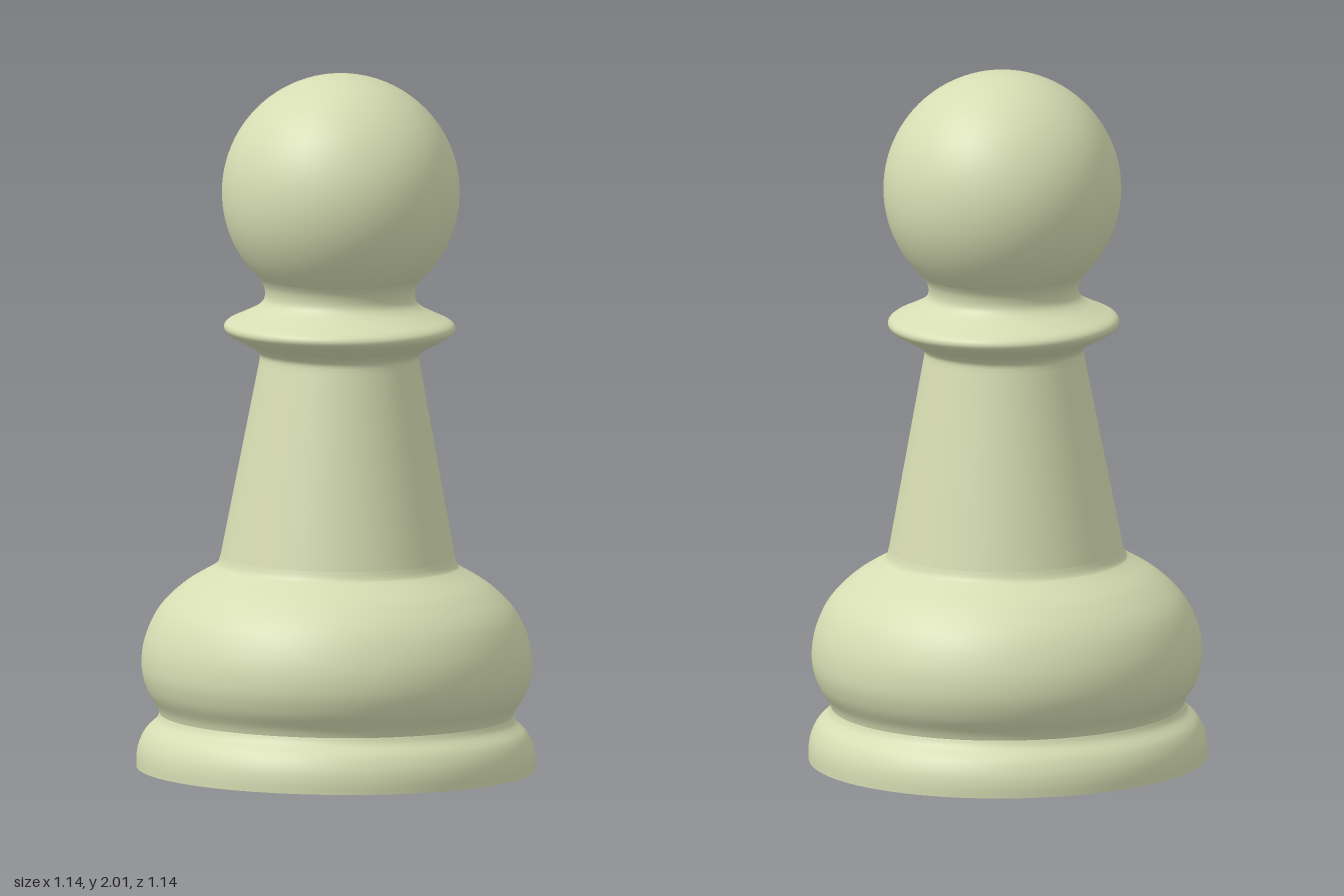
import * as THREE from 'three';

const SEGMENTS = 96;

export function createModel() {
  const model = new THREE.Group();
  model.name = 'pawn';
  const pale = new THREE.MeshStandardMaterial({ color: 0xd6dcb2 });
  pale.name = 'pale green';

  // Turned sections, each a profile of [radius, height] from bottom to top
  const turn = (name, points, smooth = true) => {
    let profile = points.map(([r, y]) => new THREE.Vector2(r, y));
    if (smooth) profile = new THREE.SplineCurve(profile).getPoints(points.length * 5);
    const mesh = new THREE.Mesh(new THREE.LatheGeometry(profile, SEGMENTS), pale);
    mesh.name = name;
    model.add(mesh);
  };

  // Flat underside
  turn('underside', [[0, 0], [0.57, 0]], false);

  // Rounded foot rising to the groove
  turn('foot', [[0.57, 0], [0.57, 0.035], [0.563, 0.07], [0.545, 0.105],
    [0.515, 0.135], [0.505, 0.155]]);

  // Bulging belly
  turn('belly', [[0.505, 0.155], [0.514, 0.178], [0.542, 0.225], [0.558, 0.29],
    [0.549, 0.37], [0.51, 0.455], [0.44, 0.525], [0.36, 0.574], [0.343, 0.588],
    [0.335, 0.61]]);

  // Tapered stem
  turn('stem', [[0.335, 0.61], [0.229, 1.17]], false);

  // Thin flared collar and the neck above it
  turn('collar', [[0.229, 1.17], [0.229, 1.192], [0.25, 1.213], [0.29, 1.234],
    [0.322, 1.254], [0.331, 1.271], [0.319, 1.288], [0.28, 1.306], [0.237, 1.328],
    [0.216, 1.352], [0.217, 1.385], [0.232, 1.412], [0.25, 1.43]]);

  // Ball head
  const head = new THREE.Mesh(new THREE.SphereGeometry(0.34, SEGMENTS, 48), pale);
  head.name = 'head';
  head.position.y = 1.66;
  model.add(head);

  // Slight backward lean, with the rear edge of the foot on the ground
  model.rotation.x = -0.0125;
  model.position.y = 0.006;

  const root = new THREE.Group();
  root.name = 'model';
  root.add(model);
  return root;
}
